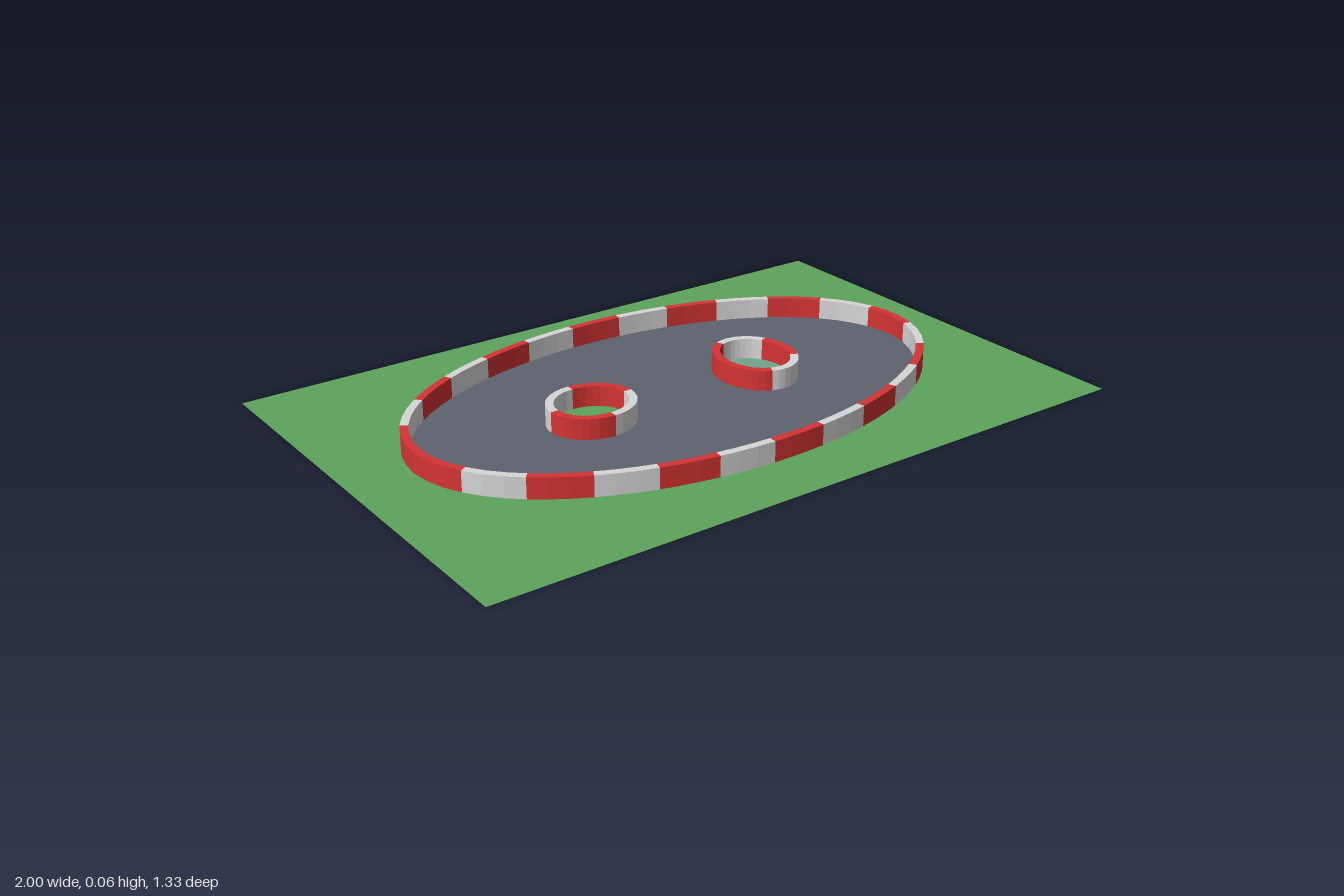
import * as THREE from 'three';

const CURB_WIDTH = 0.023, CURB_HEIGHT = 0.06, STEPS = 3;

function material(name, color, side = THREE.FrontSide) {
  const m = new THREE.MeshStandardMaterial({ color, side });
  m.name = name;
  return m;
}

export function createModel() {
  const model = new THREE.Group();
  model.name = 'raceTrack';
  const grass = material('grass green', 0x5da35d, THREE.DoubleSide);
  const asphalt = material('asphalt grey', 0x5e626e, THREE.DoubleSide);
  const water = material('pond green', 0x72a58c, THREE.DoubleSide);
  const red = material('curb red', 0xd43333);
  const white = material('curb white', 0xd6d6d6);

  // Centre lines of the three curbs, running from the -x end
  const oval = (cx, rx, ry) => new THREE.EllipseCurve(cx, 0, rx, ry, Math.PI, 3 * Math.PI);
  const loops = [
    { name: 'outerCurb', curve: oval(0, 0.808, 0.477), count: 25 },
    { name: 'grassIslandCurb', curve: oval(-0.282, 0.117, 0.105), count: 4 },
    { name: 'pondCurb', curve: oval(0.28, 0.104, 0.126), count: 5 },
  ];
  for (const loop of loops) {
    loop.steps = loop.count > 5 ? STEPS : 8;
    loop.points = loop.curve.getSpacedPoints(loop.count * loop.steps);
  }
  const [outer, island, pond] = loops.map((l) => l.points.slice(0, -1));

  // Flat surfaces that meet beneath the curbs
  function surface(name, outline, holes, mat) {
    const shape = new THREE.Shape(outline);
    shape.holes = holes.map((h) => new THREE.Path(h));
    const mesh = new THREE.Mesh(new THREE.ShapeGeometry(shape), mat);
    mesh.geometry.rotateX(-Math.PI / 2);
    mesh.name = name;
    model.add(mesh);
  }
  const corners = [[-1, -0.667], [1, -0.667], [1, 0.667], [-1, 0.667]];
  surface('ground', corners.map(([x, y]) => new THREE.Vector2(x, y)), [outer], grass);
  surface('road', outer, [island, pond], asphalt);
  surface('grassIsland', island, [], grass);
  surface('pond', pond, [], water);

  // Curbs cut into blocks of alternating colour
  for (const { name, points, count, steps } of loops) {
    const curb = new THREE.Group();
    curb.name = name;
    const n = points.length - 1;
    const offset = (i, d) => {
      const a = points[(i - 1 + n) % n], b = points[(i + 1) % n];
      const t = b.clone().sub(a).normalize();
      return new THREE.Vector2(points[i].x + t.y * d, points[i].y - t.x * d);
    };
    for (let s = 0; s < count; s++) {
      const outside = [], inside = [];
      for (let k = 0; k <= steps; k++) {
        const i = s * steps + k;
        outside.push(offset(i, CURB_WIDTH / 2));
        inside.unshift(offset(i, -CURB_WIDTH / 2));
      }
      const geometry = new THREE.ExtrudeGeometry(new THREE.Shape([...outside, ...inside]), {
        depth: CURB_HEIGHT, bevelEnabled: false,
      });
      geometry.rotateX(-Math.PI / 2);
      const block = new THREE.Mesh(geometry, s % 2 ? white : red);
      block.name = 'curbBlock';
      block.position.y = 0.001;
      curb.add(block);
    }
    model.add(curb);
  }
  return model;
}
